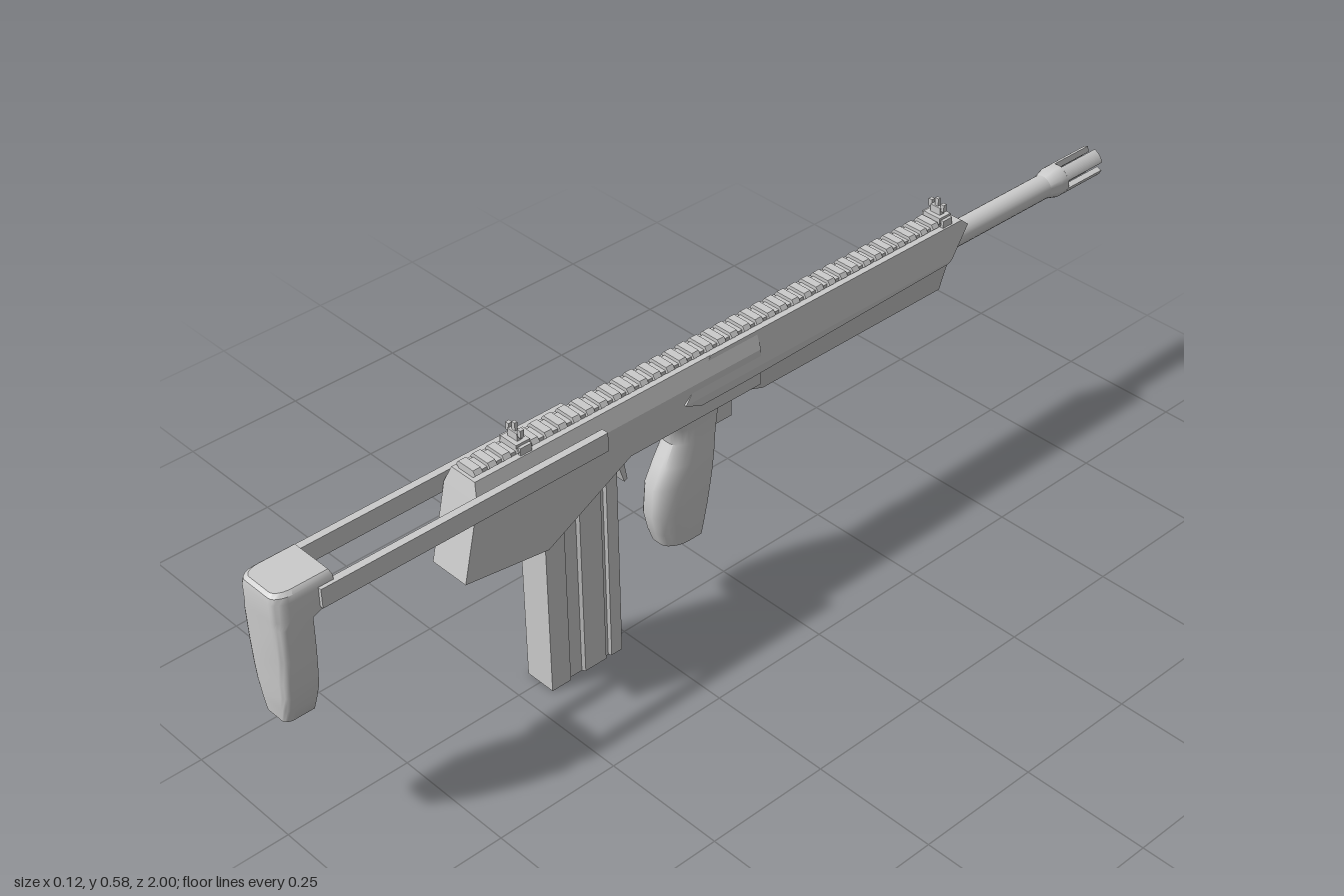
import * as THREE from 'three';
import { toCreasedNormals } from 'three/addons/utils/BufferGeometryUtils.js';

const mat = new THREE.MeshStandardMaterial({ color: 0xcccccc });

export function createModel() {
  const model = new THREE.Group();

  function add(name, geometry, parent = model) {
    const mesh = new THREE.Mesh(geometry, mat);
    mesh.name = name;
    parent.add(mesh);
    return mesh;
  }

  // Box given by its limits
  function box(name, x0, x1, y0, y1, z0, z1, parent) {
    const m = add(name, new THREE.BoxGeometry(x1 - x0, y1 - y0, z1 - z0), parent);
    m.position.set((x0 + x1) / 2, (y0 + y1) / 2, (z0 + z1) / 2);
    return m;
  }

  // Side profile of [z, y] points; halfWidth(y, z) sets the thickness
  function slab(name, points, halfWidth) {
    const shape = new THREE.Shape(points.map(p => new THREE.Vector2(...p)));
    const g = new THREE.ExtrudeGeometry(shape, { depth: 1, bevelEnabled: false });
    g.translate(0, 0, -0.5).rotateY(-Math.PI / 2);
    const p = g.attributes.position;
    for (let i = 0; i < p.count; i++) {
      p.setX(i, Math.sign(p.getX(i)) * halfWidth(p.getY(i), p.getZ(i)));
    }
    g.computeVertexNormals();
    return add(name, g);
  }

  // Loft of [y, zFront, zBack, halfWidth] sections: flat front, rounded back
  function loft(name, sections, rx, rz) {
    const pos = [], idx = [], steps = 6, n = 2 * steps + 4;
    for (const [y, zf, zb, w] of sections) {
      const ax = w * rx, az = (zb - zf) * rz;
      pos.push(w, y, zf);
      for (const s of [0, 1]) {
        for (let k = 0; k <= steps; k++) {
          const a = (s + k / steps) * Math.PI / 2;
          pos.push((s ? -1 : 1) * (w - ax) + ax * Math.cos(a), y, zb - az + az * Math.sin(a));
        }
      }
      pos.push(-w, y, zf);
    }
    const last = (sections.length - 1) * n, c = sections.length * n;
    for (const s of [sections[0], sections[sections.length - 1]]) pos.push(0, s[0], (s[1] + s[2]) / 2);
    for (let i = 0; i < n; i++) {
      const j = (i + 1) % n;
      for (let r = 0; r < last; r += n) {
        idx.push(r + i, r + n + i, r + j, r + j, r + n + i, r + n + j);
      }
      idx.push(c, i, j, c + 1, last + j, last + i);
    }
    const g = new THREE.BufferGeometry();
    g.setAttribute('position', new THREE.Float32BufferAttribute(pos, 3));
    g.setIndex(idx);
    return add(name, toCreasedNormals(g, 0.6));
  }

  const taper = (y0, w0, y1, w1) => y => w0 + (w1 - w0) * (y - y0) / (y1 - y0);

  // Body, with a chamfered upper half
  slab('receiverLower', [[0.595, 0.5], [0.63, 0.35], [0.45, 0.325], [0.26, 0.425],
    [-0.05, 0.425], [-0.05, 0.5]], () => 0.043);
  slab('receiverUpper', [[0.587, 0.533], [0.595, 0.5], [-0.05, 0.5], [-0.05, 0.533]],
    taper(0.5, 0.043, 0.533, 0.03));

  // Forward shell: widest along its middle
  slab('handguardUpper', [[0.06, 0.533], [0.135, 0.47], [-0.545, 0.47], [-0.6, 0.52], [-0.585, 0.533]],
    taper(0.47, 0.047, 0.533, 0.031));
  slab('handguardEdge', [[0.135, 0.47], [0.1, 0.453], [-0.02, 0.453], [-0.535, 0.465], [-0.545, 0.47]],
    () => 0.047);
  slab('handguardLower', [[-0.01, 0.46], [0.0, 0.43], [-0.07, 0.4], [-0.535, 0.4], [-0.535, 0.465]],
    taper(0.4, 0.028, 0.465, 0.045));

  // Toothed top rail
  const topRail = new THREE.Group();
  topRail.name = 'topRail';
  model.add(topRail);
  box('railBase', -0.018, 0.018, 0.53, 0.54, -0.56, 0.58, topRail);
  const tooth = new THREE.Shape([[-0.018, 0.533], [0.018, 0.533], [0.025, 0.539], [0.019, 0.547],
    [-0.019, 0.547], [-0.025, 0.539]].map(p => new THREE.Vector2(...p)));
  const toothGeometry = new THREE.ExtrudeGeometry(tooth, { depth: 0.016, bevelEnabled: false });
  for (let i = 0; i < 38; i++) {
    add('railTooth', toothGeometry, topRail).position.z = -0.56 + i * 0.0304;
  }

  // Sights
  for (const [name, z] of [['rearSight', 0.475], ['frontSight', -0.55]]) {
    const sight = new THREE.Group();
    sight.name = name;
    sight.position.z = z;
    model.add(sight);
    box('sightBase', -0.02, 0.02, 0.54, 0.552, -0.015, 0.015, sight);
    box('sightStem', -0.012, 0.012, 0.55, 0.567, -0.006, 0.006, sight);
    box('sightPost', -0.004, 0.004, 0.565, 0.583, -0.003, 0.003, sight);
    for (const s of [-1, 1]) {
      box('sightEar', s * 0.015 - 0.004, s * 0.015 + 0.004, 0.56, 0.575, -0.004, 0.004, sight);
      box('sightClamp', s * 0.024 - 0.003, s * 0.024 + 0.003, 0.53, 0.548, -0.012, 0.012, sight);
    }
  }

  // Barrel and slotted end, turned around the z axis
  const axisY = 0.48;
  const barrel = add('barrel', new THREE.CylinderGeometry(0.024, 0.024, 0.38, 24).rotateX(Math.PI / 2));
  barrel.position.set(0, axisY, -0.69);
  const collarProfile = [[0, 0], [0.024, 0], [0.031, 0.025], [0.031, 0.045], [0, 0.045]];
  const collar = add('muzzleCollar', toCreasedNormals(
    new THREE.LatheGeometry(collarProfile.map(p => new THREE.Vector2(...p)), 24).rotateX(-Math.PI / 2), 0.6));
  collar.position.set(0, axisY, -0.855);
  for (let i = 0; i < 4; i++) {
    const a = i * Math.PI / 2 + 0.28, b = (i + 1) * Math.PI / 2 - 0.28;
    const s = new THREE.Shape();
    s.absarc(0, 0, 0.031, a, b, false);
    s.absarc(0, 0, 0.019, b, a, true);
    const prong = add('muzzleProng',
      new THREE.ExtrudeGeometry(s, { depth: 0.102, bevelEnabled: false, curveSegments: 6 }));
    prong.position.set(0, axisY, -1);
  }

  // Shoulder stock and its two side bars
  loft('shoulderStock', [[0.255, 0.945, 0.988, 0.022], [0.262, 0.938, 0.994, 0.03], [0.29, 0.936, 0.996, 0.038],
    [0.32, 0.935, 0.997, 0.046], [0.35, 0.935, 0.998, 0.049], [0.4, 0.935, 0.999, 0.052],
    [0.465, 0.935, 1, 0.053], [0.48, 0.895, 1, 0.053], [0.515, 0.89, 1, 0.053],
    [0.526, 0.89, 0.998, 0.05], [0.532, 0.892, 0.992, 0.043]], 0.4, 0.3);
  for (const s of [-1, 1]) {
    box('stockBar', s * 0.0525 - 0.0075, s * 0.0525 + 0.0075, 0.478, 0.516, 0.325, 0.92);
  }

  // Magazine with upright grooves on both sides
  const side = [[0.285, 0.033], [0.31, 0.033], [0.313, 0.027], [0.32, 0.027], [0.323, 0.033],
    [0.372, 0.033], [0.376, 0.027], [0.403, 0.027], [0.407, 0.033], [0.45, 0.033]];
  const outline = [...side.map(([z, x]) => new THREE.Vector2(x, -z)),
    ...side.slice().reverse().map(([z, x]) => new THREE.Vector2(-x, -z))];
  add('magazine', new THREE.ExtrudeGeometry(new THREE.Shape(outline), { depth: 0.42, bevelEnabled: false })
    .rotateX(-Math.PI / 2));

  // Hand grip, trigger and the stop ahead of the grip
  loft('handGrip', [[0.16, 0.09, 0.165, 0.036], [0.19, 0.085, 0.176, 0.038], [0.23, 0.078, 0.185, 0.04],
    [0.29, 0.067, 0.18, 0.04], [0.33, 0.06, 0.16, 0.038], [0.37, 0.053, 0.138, 0.034],
    [0.4, 0.048, 0.142, 0.033], [0.43, 0.045, 0.157, 0.034]], 0.8, 0.6);
  slab('trigger', [[0.28, 0.43], [0.262, 0.385], [0.25, 0.348], [0.243, 0.352], [0.25, 0.39], [0.255, 0.43]],
    () => 0.012);
  box('gripStop', -0.02, 0.02, 0.37, 0.43, 0.0, 0.055);

  return model;
}
